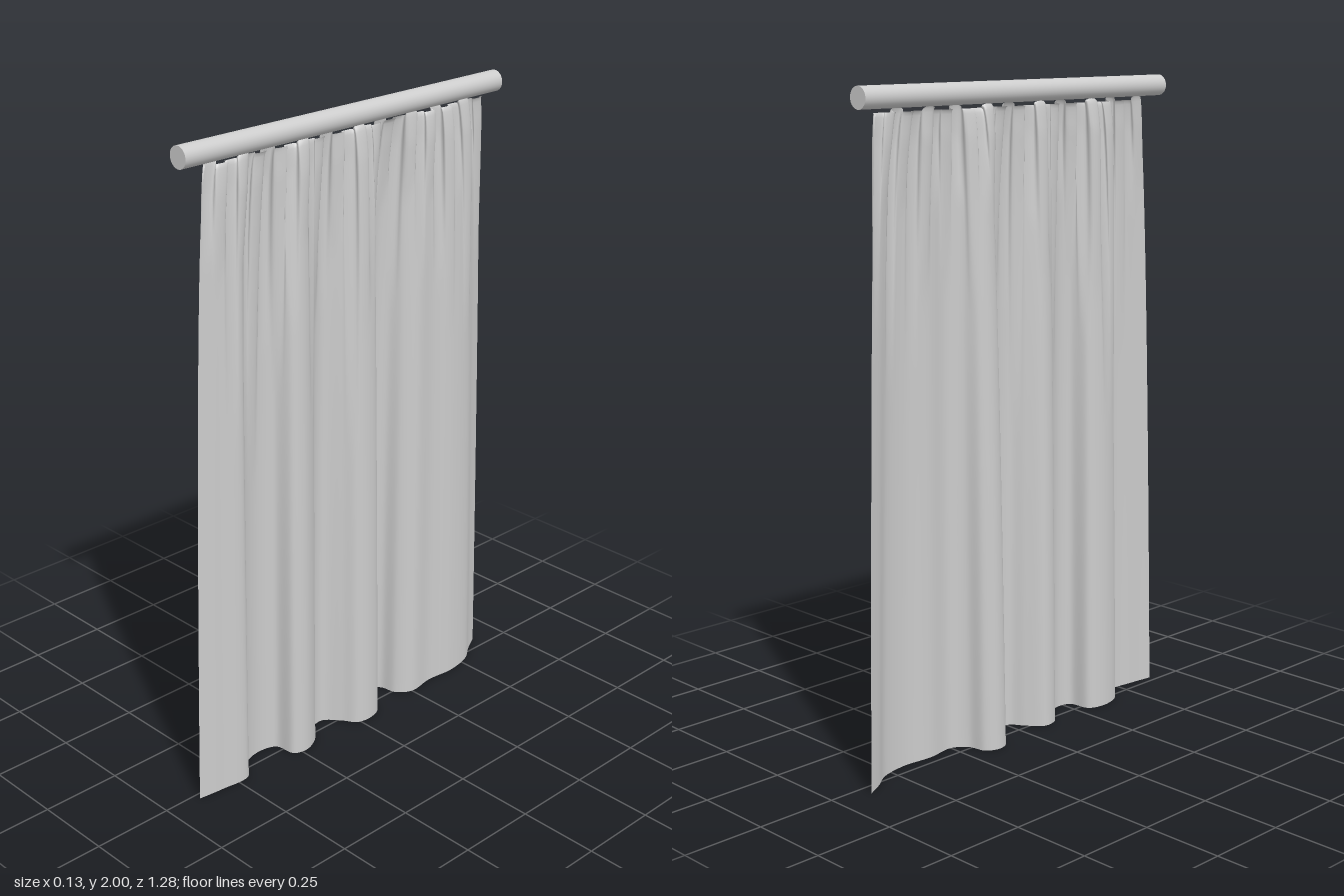
import * as THREE from 'three';

const fabricGrey = new THREE.MeshStandardMaterial({ color: 0xcccccc, side: THREE.DoubleSide });
fabricGrey.name = 'fabricGrey';

const TOP = 1.932, HEM = 0.005;

// small seeded generator for uneven pleats
function seeded(seed) {
  return () => (seed = (seed * 16807) % 2147483647) / 2147483647;
}

// plan of the hem as [x, z], from the front edge to the back edge
const hemPath = new THREE.CatmullRomCurve3([
  [0.022, 0.64], [0.032, 0.56], [0.036, 0.46], [-0.018, 0.425], [-0.042, 0.35], [-0.025, 0.29],
  [0.04, 0.275], [0.053, 0.23], [0.025, 0.17], [-0.025, 0.135], [-0.034, 0.085], [0.01, 0.04],
  [0.052, 0.01], [0.061, -0.04], [0.042, -0.09], [-0.02, -0.106], [-0.052, -0.108],
  [-0.066, -0.15], [-0.045, -0.19], [0.01, -0.205], [0.042, -0.25], [0.032, -0.34],
  [0.04, -0.44], [0.022, -0.53], [-0.015, -0.585], [-0.045, -0.64],
].map(([x, z]) => new THREE.Vector3(x, 0, z)), false, 'centripetal');

function curtainGeometry() {
  const columns = 240, rows = 44, pleatCount = 30;
  const random = seeded(77);
  const pleats = Array.from({ length: pleatCount }, (_, i) => ({
    size: (i % 2 ? 1 : -1) * (0.011 + 0.009 * random()),
    length: 0.25 + 0.75 * random() ** 2,
  }));
  const hem = hemPath.getSpacedPoints(columns);
  const geometry = new THREE.PlaneGeometry(1, 1, columns, rows);
  const position = geometry.attributes.position;

  for (let r = 0; r <= rows; r++) {
    // rows crowd towards the gathered heading
    const s = (r / rows) ** 1.6;
    const drop = s * (TOP - HEM);
    const foldDepth = 0.1 + 0.9 * s ** 0.35;
    const spread = s ** 0.55;
    for (let c = 0; c <= columns; c++) {
      const u = c / columns;
      const p = u * pleatCount;
      const i = Math.min(pleatCount - 1, Math.floor(p));
      const t = p - i;
      const { size, length } = pleats[i];

      // pleats fade out at their own lengths, folds deepen downward
      const fade = Math.max(0, 1 - drop / length);
      const start = 0.6 + 0.4 * Math.min(1, drop / 0.08);
      const x = hem[c].x * foldDepth + size * Math.sin(Math.PI * t) * fade * start;
      const pinch = 0.011 * Math.sin(2 * Math.PI * t) * fade;
      const z = THREE.MathUtils.lerp(0.525 - 1.075 * u, hem[c].z, spread) + pinch;
      const lift = i % 3 === 0 ? 0.012 * Math.sin(Math.PI * t) * Math.max(0, 1 - drop / 0.06) : 0;
      position.setXYZ(r * (columns + 1) + c, x, TOP - drop - 0.006 + lift + 0.006 * s, z);
    }
  }
  geometry.computeVertexNormals();
  return geometry;
}

export function createModel() {
  const model = new THREE.Group();
  model.name = 'curtainOnRod';

  // rod
  const rod = new THREE.Mesh(new THREE.CylinderGeometry(0.032, 0.032, 1.22, 32), fabricGrey);
  rod.name = 'rod';
  rod.rotation.x = Math.PI / 2;
  rod.position.set(0.007, 1.968, 0.01);
  model.add(rod);

  // hanging cloth
  const curtain = new THREE.Mesh(curtainGeometry(), fabricGrey);
  curtain.name = 'curtain';
  model.add(curtain);

  return model;
}
